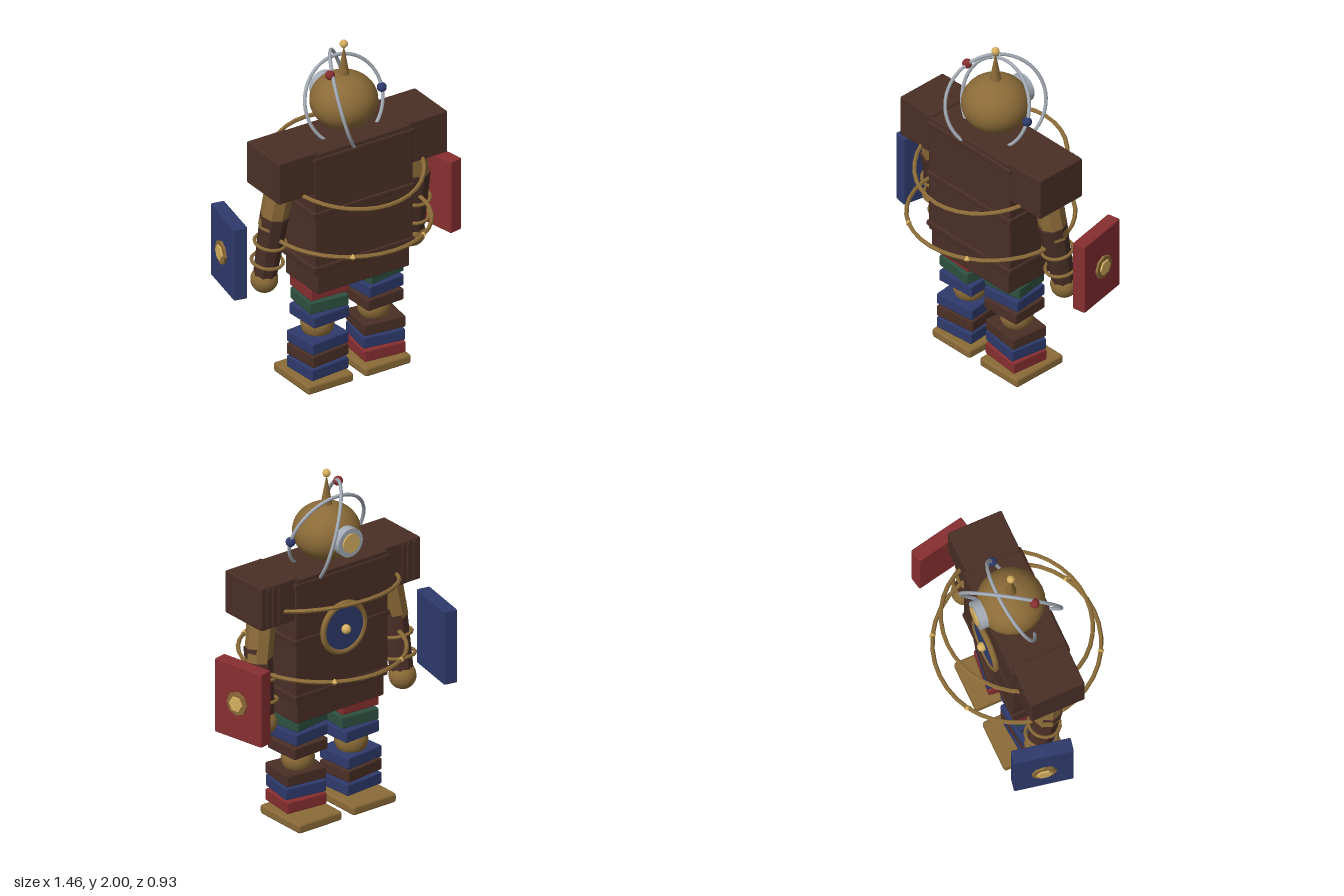
import * as THREE from 'three';
import { RoundedBoxGeometry } from 'three/addons/geometries/RoundedBoxGeometry.js';

export function createModel() {
  const model = new THREE.Group();
  model.name = 'woodenRobot';

  const material = (name, color) => {
    const m = new THREE.MeshStandardMaterial({ color });
    m.name = name;
    return m;
  };
  const brown = material('darkWood', 0x4a2f26);
  const gold = material('agedBrass', 0x8b6b38);
  const paleGold = material('paleBrass', 0xd6b060);
  const red = material('redCloth', 0x872e30);
  const blue = material('blueCloth', 0x2e3a6c);
  const green = material('greenCloth', 0x2d5040);
  const steel = material('steel', 0xa4abb5);

  const add = (name, geometry, mat, x = 0, y = 0, z = 0, parent = model) => {
    const mesh = new THREE.Mesh(geometry, mat);
    mesh.name = name;
    mesh.position.set(x, y, z);
    parent.add(mesh);
    return mesh;
  };
  const box = (w, h, d, r = 0.008) => new RoundedBoxGeometry(w, h, d, 1, r);
  const ball = (r, n = 16) => new THREE.SphereGeometry(r, n, Math.max(6, n * 0.7 | 0));
  // Faceted version of a geometry
  const flat = (geometry) => {
    const g = geometry.toNonIndexed();
    g.computeVertexNormals();
    return g;
  };
  // Turns a mesh so that its given axis runs along a direction
  const aim = (mesh, axis, dir) => mesh.quaternion.setFromUnitVectors(axis, dir.clone().normalize());
  const Y = new THREE.Vector3(0, 1, 0);
  const Z = new THREE.Vector3(0, 0, 1);
  // Eight-sided limb between two points
  const limb = (name, a, b, rTop, rBottom, mat) => {
    const dir = a.clone().sub(b);
    const mid = a.clone().add(b).multiplyScalar(0.5);
    const mesh = add(name, flat(new THREE.CylinderGeometry(rTop, rBottom, dir.length(), 8)), mat, mid.x, mid.y, mid.z);
    aim(mesh, Y, dir);
    return mesh;
  };

  // Torso with three trim bands
  add('torso', box(0.63, 0.74, 0.33), brown, 0, 1.11, -0.005);
  add('hips', box(0.595, 0.15, 0.31), brown, 0, 0.695, 0);
  for (const y of [1.44, 1.11, 0.78]) add('torsoTrim', box(0.65, 0.032, 0.345), brown, 0, y, -0.003);

  // Round badge on the chest
  add('badgeRim', new THREE.TorusGeometry(0.14, 0.017, 8, 32), gold, 0, 1.12, -0.185);
  add('badgeDisc', new THREE.CylinderGeometry(0.125, 0.125, 0.03, 32), blue, 0, 1.12, -0.178).rotation.x = Math.PI / 2;
  add('badgeKnob', ball(0.027), paleGold, 0, 1.115, -0.205);

  // Hoops around the body
  const hoop = flat(new THREE.TorusGeometry(0.453, 0.012, 6, 36));
  add('lowerHoop', hoop, gold, 0, 0.937, 0).rotation.x = Math.PI / 2;
  for (let i = 0; i < 6; i++) {
    const a = i * Math.PI / 3;
    add('hoopStud', flat(new THREE.OctahedronGeometry(0.021)), paleGold, 0.453 * Math.cos(a), 0.937, 0.453 * Math.sin(a));
  }
  const upperHoop = flat(new THREE.TorusGeometry(0.415, 0.012, 6, 36));
  add('upperHoop', upperHoop, gold, 0, 1.28, 0).rotation.x = Math.PI / 2 + 0.21;

  // Head, antenna and single eye
  const hy = 1.64, hz = -0.035;
  add('head', ball(0.186, 28), gold, 0, hy, hz).scale.y = 0.85;
  add('antenna', new THREE.ConeGeometry(0.036, 0.2, 8), gold, 0, 1.87, hz);
  add('antennaTip', ball(0.023, 10), paleGold, 0, 1.977, hz);
  add('eyeRim', new THREE.CylinderGeometry(0.083, 0.083, 0.05, 24), steel, 0, hy, -0.22).rotation.x = Math.PI / 2;
  add('eyeLens', new THREE.CylinderGeometry(0.055, 0.055, 0.02, 24), paleGold, 0, hy, -0.244).rotation.x = Math.PI / 2;

  // Two orbits around the head, each with a small ball
  add('frontOrbit', new THREE.TorusGeometry(0.245, 0.01, 8, 48), steel, 0, hy, hz).rotation.x = -0.36;
  add('blueOrbitBall', ball(0.027), blue, 0.245, hy, hz);
  const sideOrbit = add('sideOrbit', new THREE.TorusGeometry(0.275, 0.01, 8, 48), steel, 0, hy, hz);
  aim(sideOrbit, Z, new THREE.Vector3(0.81, 0.27, 0.52));
  add('redOrbitBall', ball(0.027), red, -0.14, 1.862, 0.042);

  for (const s of [-1, 1]) {
    // Shoulder block with upright ribs on one face
    add('shoulder', box(0.25, 0.25, 0.315), brown, s * 0.418, 1.365, -0.003);
    for (const x of [0.42, 0.46, 0.5]) add('shoulderRib', box(0.018, 0.23, 0.014, 0.003), brown, s * x, 1.365, -0.162);

    // Arm, bracelets and hand
    const top = new THREE.Vector3(s * 0.42, 1.28, -0.01);
    const elbow = new THREE.Vector3(s * 0.465, 1.0, -0.035);
    const foreTop = new THREE.Vector3(s * 0.455, 1.08, -0.02);
    const wrist = new THREE.Vector3(s * 0.475, 0.69, -0.085);
    limb('upperArm', top, elbow, 0.083, 0.075, gold);
    limb('forearm', foreTop, wrist, 0.08, 0.064, brown);
    for (const t of [0.45, 0.76]) {
      const p = foreTop.clone().lerp(wrist, t);
      const bracelet = add('bracelet', new THREE.TorusGeometry(0.086, 0.01, 6, 20), gold, p.x, p.y, p.z);
      aim(bracelet, Z, foreTop.clone().sub(wrist));
    }
    add('hand', ball(0.076), gold, s * 0.475, 0.663, -0.09);

    // Floating shield plate with its boss
    const shield = new THREE.Group();
    shield.name = 'shield';
    shield.position.set(s * 0.662, 0.863, -0.15);
    shield.rotation.y = s * 0.195;
    model.add(shield);
    add('shieldPlate', box(0.08, 0.435, 0.33), s > 0 ? red : blue, 0, 0, 0, shield);
    const rim = add('shieldBoss', flat(new THREE.CylinderGeometry(0.068, 0.068, 0.02, 8)), gold, s * 0.044, 0, 0, shield);
    const core = add('shieldBossCentre', flat(new THREE.CylinderGeometry(0.044, 0.048, 0.02, 6)), paleGold, s * 0.053, 0, 0, shield);
    rim.rotation.z = core.rotation.z = -s * Math.PI / 2;

    // Leg of stacked slabs: colour, height, twist
    const slabs = s > 0
      ? [[green, 0.588, 0.16], [blue, 0.505, 0.1], [brown, 0.423, 0.05], [brown, 0.265, -0.12], [blue, 0.188, -0.16], [red, 0.108, -0.1]]
      : [[red, 0.588, -0.05], [green, 0.505, -0.09], [blue, 0.423, 0.06], [blue, 0.265, 0.1], [brown, 0.188, 0.12], [blue, 0.108, 0.08]];
    slabs.forEach(([mat, y, twist], i) => {
      const w = i < 3 ? 0.238 : 0.25;
      add('legSlab', box(w, 0.068, 0.225), mat, s * (i < 3 ? 0.175 : 0.187), y, -0.008).rotation.y = twist;
    });
    add('knee', ball(0.092, 20), gold, s * 0.182, 0.345, -0.018);
    add('ankle', new THREE.CylinderGeometry(0.05, 0.05, 0.52, 10), gold, s * 0.18, 0.31, -0.01);
    add('foot', box(0.295, 0.055, 0.345, 0.015), gold, s * 0.185, 0.0275, -0.05);
  }

  return model;
}
